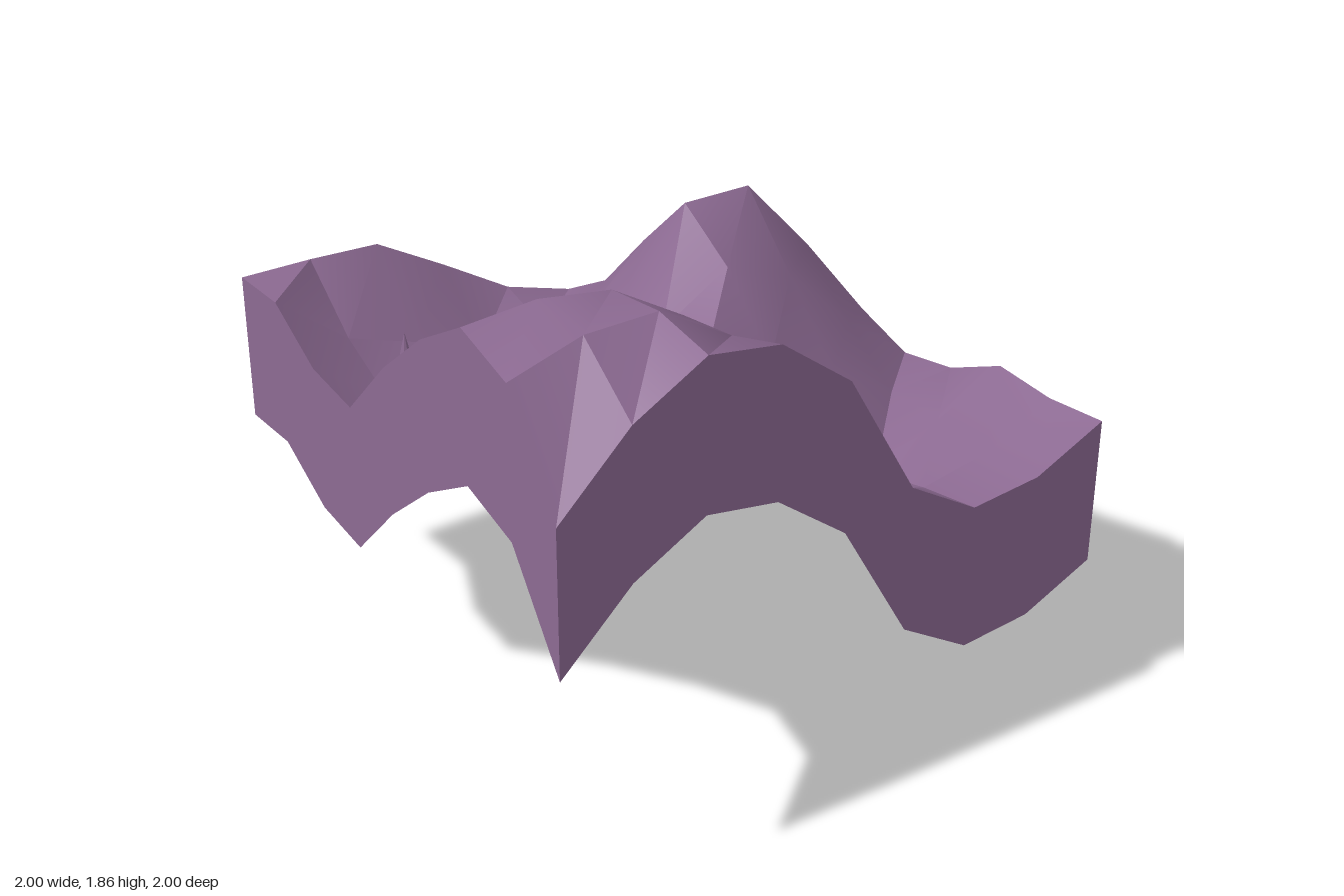
import * as THREE from 'three';
import { toCreasedNormals } from 'three/addons/utils/BufferGeometryUtils.js';

// Ground heights: rows run from back to front, columns from -x to +x
const HEIGHTS = [
  [1.26, 1.25, 1.23, 1.07, 0.90, 0.81, 0.74, 0.57, 0.54],
  [1.29, 1.07, 0.97, 0.87, 0.86, 0.97, 1.00, 0.67, 0.54],
  [1.17, 0.98, 0.95, 0.95, 1.02, 1.25, 1.31, 0.99, 0.72],
  [1.16, 1.09, 1.04, 1.05, 1.20, 1.51, 1.50, 1.20, 0.86],
  [1.44, 1.20, 1.16, 1.20, 1.24, 1.39, 1.28, 1.02, 0.81],
  [1.67, 1.53, 1.47, 1.41, 1.26, 1.16, 1.04, 0.87, 0.88],
  [1.84, 1.85, 1.80, 1.63, 1.26, 0.85, 0.78, 0.90, 1.02],
  [1.79, 1.86, 1.855, 1.69, 1.37, 0.96, 0.87, 0.91, 1.03],
  [1.45, 1.70, 1.84, 1.79, 1.58, 1.11, 0.94, 0.96, 1.08],
];
const N = 8;
const SKIRT = 0.54;

export function createModel() {
  const group = new THREE.Group();
  const purple = new THREE.MeshStandardMaterial({ color: 0x8c6a92, side: THREE.DoubleSide });
  purple.name = 'dusky purple';

  const add = (name, geometry) => {
    const mesh = new THREE.Mesh(geometry, purple);
    mesh.name = name;
    group.add(mesh);
    return mesh;
  };

  // Hilly ground, smooth on gentle folds and creased on sharp ones
  const ground = new THREE.PlaneGeometry(2, 2, N, N).rotateX(-Math.PI / 2);
  HEIGHTS.flat().forEach((h, i) => ground.attributes.position.setY(i, h));
  add('ground', toCreasedNormals(ground, 0.5));

  // Side walls hang a constant depth below each edge of the ground; underside is open
  const addWall = (name, profile, turn) => {
    const wall = new THREE.PlaneGeometry(2, SKIRT, N, 1);
    profile.forEach((h, i) => {
      wall.attributes.position.setY(i, h);
      wall.attributes.position.setY(i + N + 1, h - SKIRT);
    });
    wall.translate(0, 0, 1).rotateY(turn);
    add(name, wall);
  };
  const column = (i) => HEIGHTS.map((row) => row[i]);
  addWall('frontWall', HEIGHTS[N], 0);
  addWall('plusXWall', column(N).reverse(), Math.PI / 2);
  addWall('backWall', [...HEIGHTS[0]].reverse(), Math.PI);
  addWall('minusXWall', column(0), -Math.PI / 2);

  // Small spikes standing on the ground
  for (const [x, base, z] of [[-0.67, 0.97, -0.5], [0.09, 1.11, 0.58]]) {
    const spike = new THREE.ConeGeometry(0.05, 0.225, 8);
    spike.translate(0, 0.1125, 0);
    add('spike', toCreasedNormals(spike, 0.3)).position.set(x, base, z);
  }
  return group;
}
